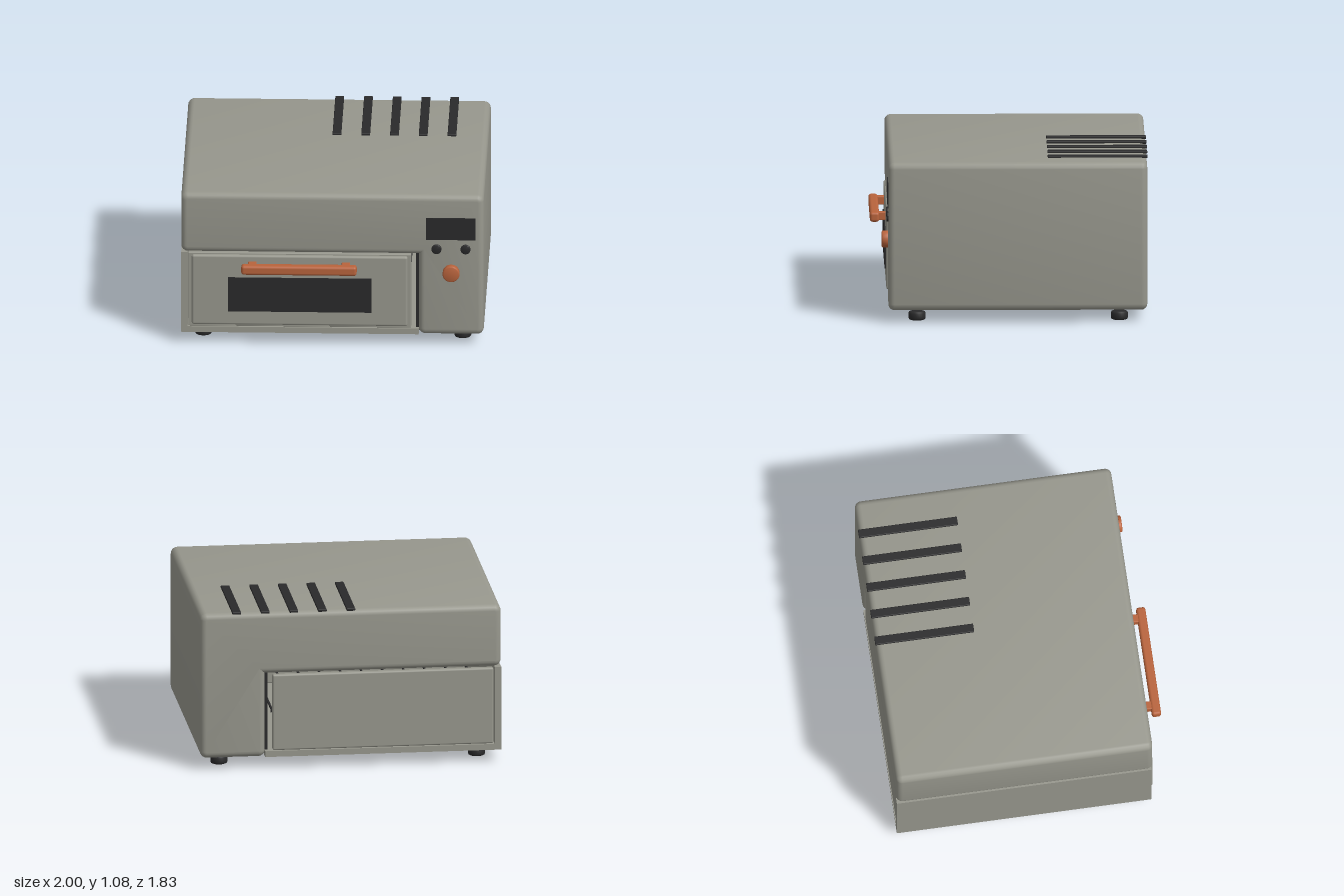
import * as THREE from 'three';
import { toCreasedNormals } from 'three/addons/utils/BufferGeometryUtils.js';
import { RoundedBoxGeometry } from 'three/addons/geometries/RoundedBoxGeometry.js';

function material(name, color) {
  const m = new THREE.MeshStandardMaterial({ color });
  m.name = name;
  return m;
}

// Closed outline through the points, with every corner rounded by r
function roundedOutline(points, r) {
  const pts = points.map(([x, y]) => new THREE.Vector2(x, y));
  const shape = new THREE.Shape();
  pts.forEach((p, i) => {
    const prev = pts[(i + pts.length - 1) % pts.length];
    const next = pts[(i + 1) % pts.length];
    const a = prev.clone().sub(p).setLength(r).add(p);
    const b = next.clone().sub(p).setLength(r).add(p);
    if (i === 0) shape.moveTo(a.x, a.y);
    else shape.lineTo(a.x, a.y);
    shape.quadraticCurveTo(p.x, p.y, b.x, b.y);
  });
  shape.closePath();
  return shape;
}

export function createModel() {
  const model = new THREE.Group();
  model.name = 'toasterOven';
  const grey = material('warm grey enamel', 0x97978d);
  const dark = material('charcoal', 0x2a2a2b);
  const copper = material('copper', 0xb8633c);

  function add(name, geometry, mat, x = 0, y = 0, z = 0) {
    const mesh = new THREE.Mesh(geometry, mat);
    mesh.name = name;
    mesh.position.set(x, y, z);
    model.add(mesh);
    return mesh;
  }

  // Box given by its limits, rounded when r > 0
  function block(name, mat, [x0, x1], [y0, y1], [z0, z1], r = 0) {
    const size = [x1 - x0, y1 - y0, z1 - z0];
    const geo = r ? new RoundedBoxGeometry(...size, 3, r) : new THREE.BoxGeometry(...size);
    return add(name, geo, mat, (x0 + x1) / 2, (y0 + y1) / 2, (z0 + z1) / 2);
  }

  // Short cylinder with softened rims, standing on y = 0
  function button(radius, height, soft) {
    return toCreasedNormals(new THREE.LatheGeometry([
      [0, 0], [radius - soft, 0], [radius - soft * 0.3, soft * 0.3], [radius, soft],
      [radius, height - soft], [radius - soft * 0.3, height - soft * 0.3],
      [radius - soft, height], [0, height],
    ].map(([x, y]) => new THREE.Vector2(x, y)), 28), 0.9);
  }

  // L-shaped housing: hood on top and control column on one side
  const bevel = 0.04;
  const outline = roundedOutline([
    [0.57 + bevel, 0.08 + bevel], [1 - bevel, 0.08 + bevel],
    [1 - bevel, 1.07 - bevel], [-1 + bevel, 1.07 - bevel],
    [-1 + bevel, 0.65 + bevel], [0.57 + bevel, 0.65 + bevel],
  ], 0.006);
  const housing = new THREE.ExtrudeGeometry(outline, {
    depth: 1.71 - 2 * bevel, bevelEnabled: true, bevelSize: bevel,
    bevelThickness: bevel, bevelSegments: 5, curveSegments: 4,
  });
  add('housing', toCreasedNormals(housing, 0.7), grey, 0, 0, -0.91 + bevel);

  // Cooking chamber: floor, wall, back and dark liner
  block('chamberFloor', grey, [-1, 0.57], [0.08, 0.12], [-0.91, 0.79]);
  block('chamberWall', grey, [-1, -0.957], [0.12, 0.648], [-0.91, 0.79]);
  block('backPanel', grey, [-0.95, 0.52], [0.122, 0.64], [-0.905, -0.86], 0.012);
  block('chamberLiner', dark, [0.55, 0.575], [0.1, 0.655], [-0.87, 0.76]);

  // Wire rack and heating rods inside the chamber
  for (const z of [-0.7, 0.6]) {
    block('rackRail', dark, [-0.95, 0.51], [0.33, 0.35], [z - 0.01, z + 0.01]);
  }
  for (let i = 0; i < 11; i++) {
    const x = -0.9 + i * 0.14;
    block('rackWire', dark, [x - 0.006, x + 0.006], [0.335, 0.347], [-0.7, 0.6]);
  }
  for (const z of [-0.35, 0.25]) {
    const rod = add('heatingRod', new THREE.CylinderGeometry(0.015, 0.015, 1.45, 12), copper, -0.225, 0.55, z);
    rod.rotation.z = Math.PI / 2;
  }

  // Door with raised panel and window
  block('doorFrame', grey, [-0.953, 0.52], [0.123, 0.645], [0.735, 0.785], 0.006);
  block('doorPanel', grey, [-0.93, 0.497], [0.14, 0.635], [0.75, 0.808], 0.015);
  block('doorWindow', dark, [-0.69, 0.26], [0.24, 0.48], [0.807, 0.816]);

  // Door handle
  block('handleBar', copper, [-0.6, 0.163], [0.535, 0.6], [0.85, 0.912], 0.018);
  for (const x of [-0.528, 0.09]) {
    block('handleMount', copper, [x - 0.028, x + 0.028], [0.54, 0.595], [0.8, 0.86], 0.006);
  }

  // Control panel
  block('display', dark, [0.62, 0.947], [0.76, 0.915], [0.797, 0.806]);
  for (const x of [0.688, 0.88]) {
    add('controlButton', button(0.033, 0.02, 0.004), dark, x, 0.694, 0.793).rotation.x = Math.PI / 2;
  }
  add('controlKnob', button(0.056, 0.05, 0.008), copper, 0.785, 0.528, 0.793).rotation.x = Math.PI / 2;

  // Top vents
  for (let i = 0; i < 5; i++) {
    const x = i * 0.19;
    block('vent', dark, [x - 0.029, x + 0.029], [1.065, 1.083], [-0.915, -0.255], 0.005);
  }

  // Feet
  for (const x of [-0.857, 0.857]) {
    for (const z of [0.61, -0.727]) {
      add('foot', button(0.057, 0.058, 0.014), dark, x, 0, z);
    }
  }

  return model;
}
